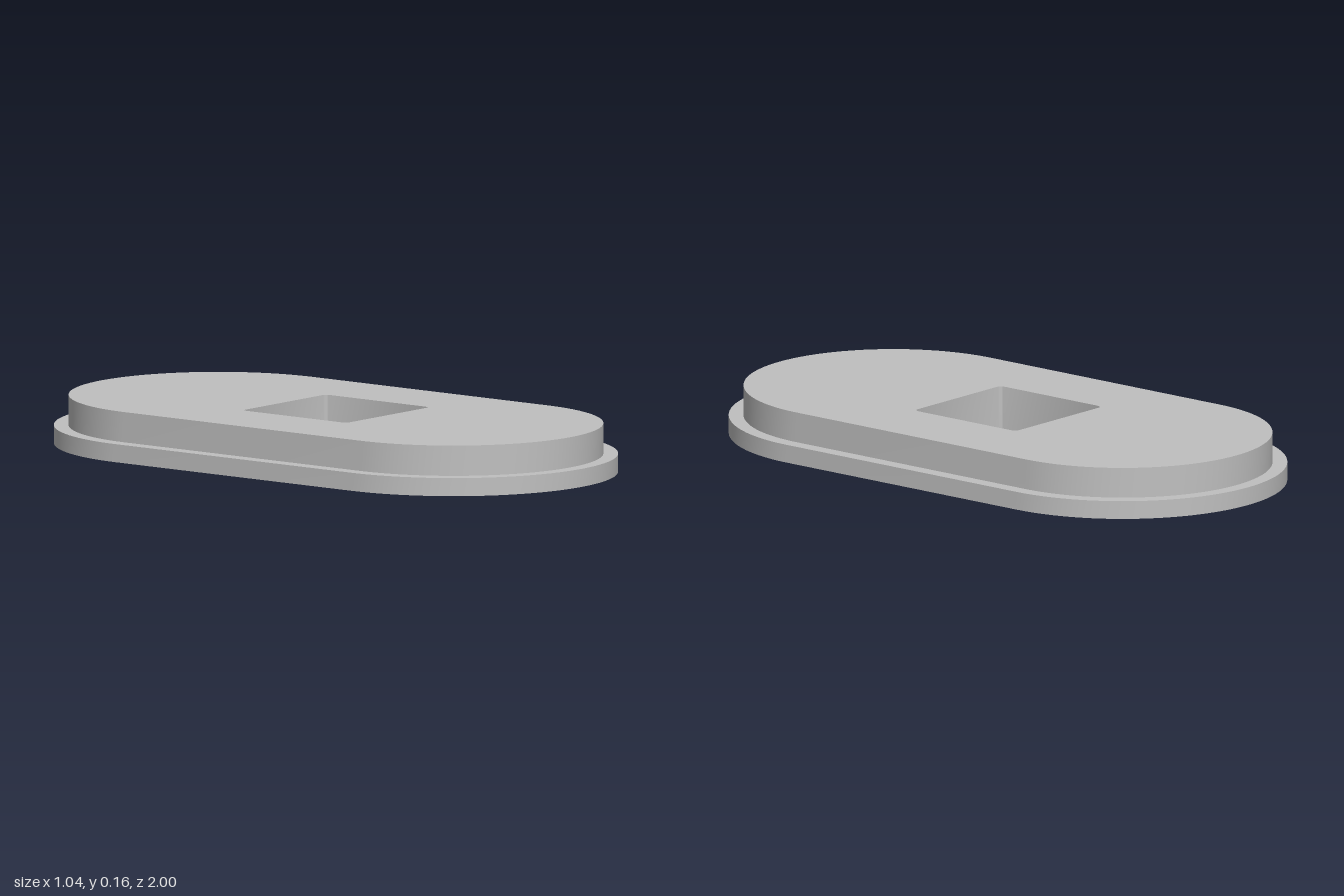
import * as THREE from 'three';
import { toCreasedNormals } from 'three/addons/utils/BufferGeometryUtils.js';

const CENTRE = 0.478;              // z of the round end centres
const OUTER = 0.522, INNER = 0.475; // end radii of flange and raised body
const FLANGE_TOP = 0.058, TOP = 0.155;
const HOLE = 0.212, CORNER = 0.02;

// Outline made of arcs joined by straight lines, anticlockwise
function outline(arcs, radius, segments) {
  const points = [];
  for (const [x, y, start, sweep] of arcs) {
    for (let i = 0; i <= segments; i++) {
      const a = start + (sweep * i) / segments;
      points.push(new THREE.Vector2(x + radius * Math.cos(a), y + radius * Math.sin(a)));
    }
  }
  return points;
}

const stadium = (radius) =>
  outline([[0, CENTRE, 0, Math.PI], [0, -CENTRE, Math.PI, Math.PI]], radius, 48);

function roundedSquare() {
  const c = HOLE - CORNER, q = Math.PI / 2;
  return outline([[c, c, 0, q], [-c, c, q, q], [-c, -c, 2 * q, q], [c, -c, 3 * q, q]], CORNER, 8);
}

// Upright wall following an outline
function wall(points, y0, y1) {
  const position = [], index = [], n = points.length;
  points.forEach((p, i) => {
    position.push(p.x, p.y, y0, p.x, p.y, y1);
    const a = 2 * i, b = 2 * ((i + 1) % n);
    index.push(a, b, b + 1, a, b + 1, a + 1);
  });
  const geometry = new THREE.BufferGeometry();
  geometry.setAttribute('position', new THREE.Float32BufferAttribute(position, 3));
  geometry.setIndex(index);
  return toCreasedNormals(geometry, 0.5).rotateX(-Math.PI / 2);
}

// Flat face with one opening
function face(outer, hole, y, down = false) {
  const shape = new THREE.Shape(outer);
  shape.holes.push(new THREE.Path(hole));
  const geometry = new THREE.ShapeGeometry(shape);
  if (down) geometry.rotateX(Math.PI);
  return geometry.rotateX(-Math.PI / 2).translate(0, y, 0);
}

export function createModel() {
  const model = new THREE.Group();
  model.name = 'steppedPlate';
  const grey = new THREE.MeshStandardMaterial({ color: 0xc0c0c0 });
  grey.name = 'grey';
  const add = (name, geometry) => {
    const mesh = new THREE.Mesh(geometry, grey);
    mesh.name = name;
    model.add(mesh);
  };

  const outer = stadium(OUTER), inner = stadium(INNER), hole = roundedSquare();

  // Wide flange
  add('flangeUnderside', face(outer, hole, 0, true));
  add('flangeSide', wall(outer, 0, FLANGE_TOP));
  add('flangeLedge', face(outer, inner, FLANGE_TOP));
  // Raised body
  add('bodySide', wall(inner, FLANGE_TOP, TOP));
  add('bodyTop', face(inner, hole, TOP));
  // Square through hole, reversed so its wall faces inwards
  add('holeWall', wall([...hole].reverse(), 0, TOP));
  return model;
}
